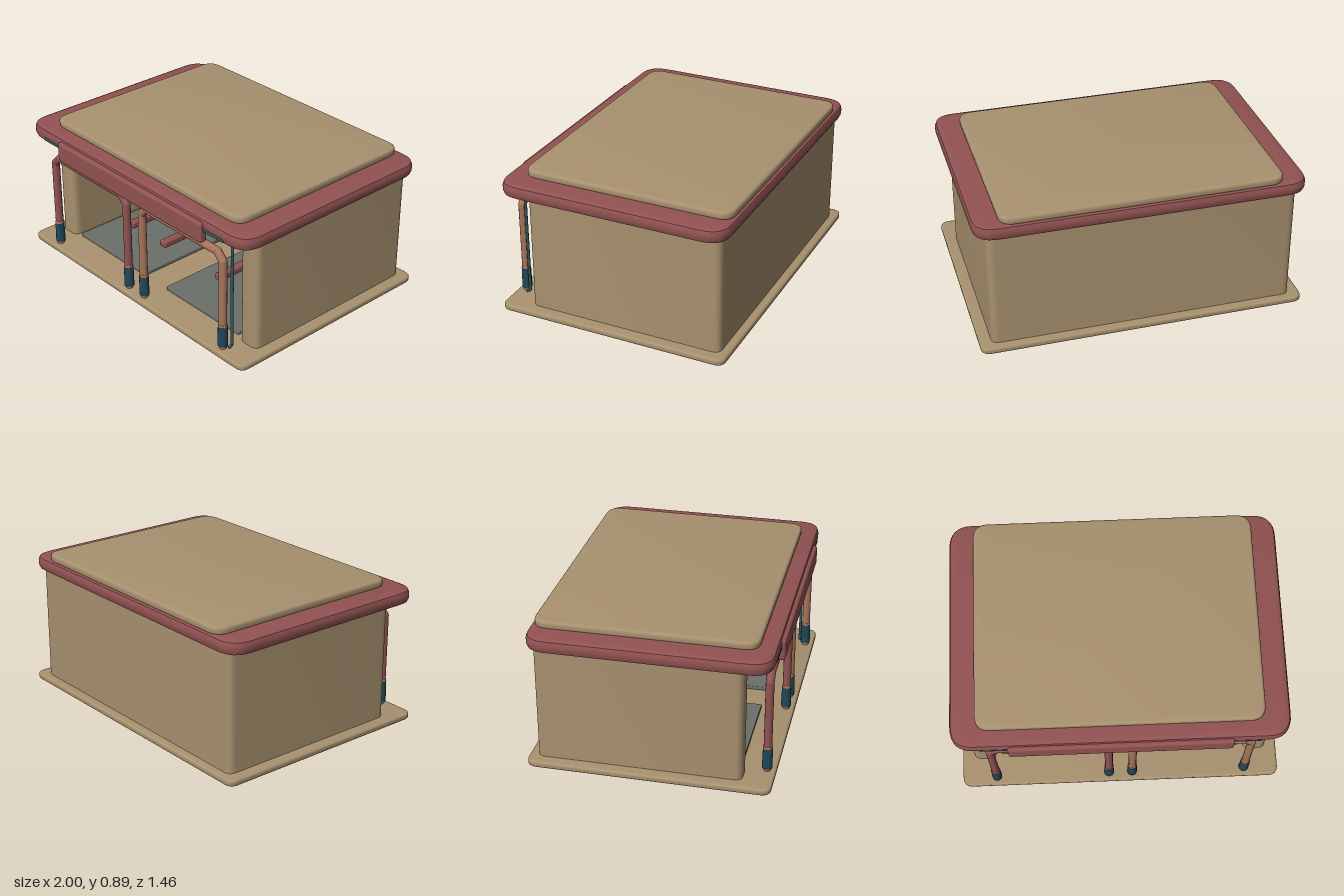
import * as THREE from 'three';
import { toCreasedNormals } from 'three/addons/utils/BufferGeometryUtils.js';
import { RoundedBoxGeometry } from 'three/addons/geometries/RoundedBoxGeometry.js';

const mat = (name, color) => {
  const m = new THREE.MeshStandardMaterial({ color });
  m.name = name;
  return m;
};

export function createModel() {
  const tan = mat('tan', 0xa8916f);
  const red = mat('brick red', 0x925252);
  const copper = mat('copper', 0xa8745a);
  const navy = mat('dark blue', 0x1f4858);
  const teal = mat('dark teal', 0x34575a);
  const grey = mat('plate grey', 0x6c7069);

  const root = new THREE.Group();
  root.name = 'garage';

  const add = (parent, name, geo, material, x = 0, y = 0, z = 0) => {
    const m = new THREE.Mesh(geo, material);
    m.name = name;
    m.position.set(x, y, z);
    parent.add(m);
    return m;
  };
  const box = (p, name, material, w, h, d, x, y, z, r = 0.01) =>
    add(p, name, new RoundedBoxGeometry(w, h, d, 2, r), material, x, y, z);

  // Plan outline with rounded corners; points are [x, z, radius]
  const outline = (pts) => {
    const s = new THREE.Shape();
    const v = pts.map(([x, z]) => new THREE.Vector2(x, -z));
    const n = v.length;
    for (let i = 0; i < n; i++) {
      const toward = (o) => v[o].clone().sub(v[i]).setLength(pts[i][2]).add(v[i]);
      const a = toward((i + n - 1) % n), b = toward((i + 1) % n);
      if (i === 0) s.moveTo(a.x, a.y); else s.lineTo(a.x, a.y);
      s.quadraticCurveTo(v[i].x, v[i].y, b.x, b.y);
    }
    s.closePath();
    return s;
  };
  // Upright extrusion of a plan outline from y0 to y1
  const raise = (pts, y0, y1, bevel, segments) => {
    const g = new THREE.ExtrudeGeometry(outline(pts), {
      depth: y1 - y0 - 2 * bevel, curveSegments: 8, bevelEnabled: bevel > 0,
      bevelThickness: bevel, bevelSize: bevel, bevelOffset: -bevel, bevelSegments: segments,
    });
    g.rotateX(-Math.PI / 2);
    g.translate(0, y0 + bevel, 0);
    return toCreasedNormals(g, 0.6);
  };
  const rect = (hx, z0, z1, r) => [[-hx, z1, r], [hx, z1, r], [hx, z0, r], [-hx, z0, r]];

  // Jointed rod through a list of points
  const rod = (parent, name, pts, r, material) => {
    const g = new THREE.Group();
    g.name = name;
    const v = pts.map((p) => new THREE.Vector3(...p));
    for (let i = 1; i < v.length; i++) {
      const dir = v[i].clone().sub(v[i - 1]);
      const m = add(g, name + 'Segment', new THREE.CylinderGeometry(r, r, dir.length(), 12), material);
      m.position.copy(v[i]).add(v[i - 1]).multiplyScalar(0.5);
      m.quaternion.setFromUnitVectors(new THREE.Vector3(0, 1, 0), dir.normalize());
      if (i < v.length - 1) add(g, name + 'Joint', new THREE.SphereGeometry(r, 12, 8), material, ...pts[i]);
    }
    parent.add(g);
  };

  // Floor slab, U-shaped walls, roof and raised roof panel
  add(root, 'floorSlab', raise(rect(1, -0.73, 0.72, 0.06), 0, 0.04, 0.012, 3), tan);
  add(root, 'walls', raise([
    [-0.93, 0.545, 0.05], [-0.785, 0.545, 0.05], [-0.785, -0.55, 0.03], [0.785, -0.55, 0.03],
    [0.785, 0.545, 0.05], [0.93, 0.545, 0.05], [0.93, -0.68, 0.05], [-0.93, -0.68, 0.05],
  ], 0.04, 0.775, 0, 1), tan);
  add(root, 'roof', raise(rect(1, -0.72, 0.71, 0.14), 0.767, 0.853, 0.028, 2), red);
  add(root, 'roofPanel', raise(rect(0.85, -0.7, 0.61, 0.09), 0.845, 0.895, 0.015, 3), tan);

  // Fascia board over the bays
  box(root, 'fascia', red, 1.33, 0.13, 0.055, 0, 0.768, 0.705, 0.018);

  // Gutters and drainpipe
  for (const s of [-1, 1]) {
    box(root, 'gutter', teal, 0.17, 0.024, 0.03, s * 0.745, 0.788, 0.697, 0.006);
  }
  rod(root, 'drainpipe', [
    [0.83, 0.76, 0.53], [0.83, 0.76, 0.625], [0.815, 0.72, 0.627],
    [0.815, 0.06, 0.627], [0.815, 0.045, 0.65],
  ], 0.009, teal);

  // Two bays, each with a door frame and a lift
  for (const [side, frameMat] of [[-1, red], [1, copper]]) {
    const bay = new THREE.Group();
    bay.name = side < 0 ? 'rightBay' : 'leftBay';
    bay.position.x = side * 0.428;
    root.add(bay);

    const z = 0.668, h = 0.355;
    rod(bay, 'doorFrame', [
      [-h, 0.05, z], [-h, 0.625, z], [-h + 0.045, 0.67, z],
      [h - 0.045, 0.67, z], [h, 0.625, z], [h, 0.05, z],
    ], 0.025, frameMat);
    for (const s of [-1, 1]) {
      add(bay, 'frameFoot', new THREE.CylinderGeometry(0.022, 0.022, 0.03, 12), copper, s * h, 0.05, z);
      add(bay, 'frameSleeve', new THREE.CylinderGeometry(0.029, 0.031, 0.13, 16), navy, s * h, 0.125, z);
      add(bay, 'sleeveCollar', new THREE.CylinderGeometry(0.026, 0.028, 0.016, 16), copper, s * h, 0.197, z);
    }
    box(bay, 'hook', navy, 0.062, 0.01, 0.055, 0, 0.628, 0.615, 0.003);

    // Lift: floor plate, two arms, cross beam and posts
    box(bay, 'floorPlate', grey, 0.65, 0.025, 0.84, 0, 0.05, 0.1, 0.006);
    box(bay, 'crossBeam', copper, 0.36, 0.1, 0.14, -0.005, 0.15, -0.17, 0.015);
    box(bay, 'beamRib', copper, 0.3, 0.02, 0.02, -0.005, 0.15, -0.1, 0.005);
    for (const s of [-1, 1]) {
      box(bay, 'liftArm', red, 0.055, 0.042, 0.4, s * 0.163 - 0.003, 0.083, 0.04, 0.01);
      add(bay, 'liftPost', new THREE.CylinderGeometry(0.05, 0.05, 0.21, 20), teal,
        s * 0.138 - 0.003, 0.165, -0.27);
    }
  }
  return root;
}
